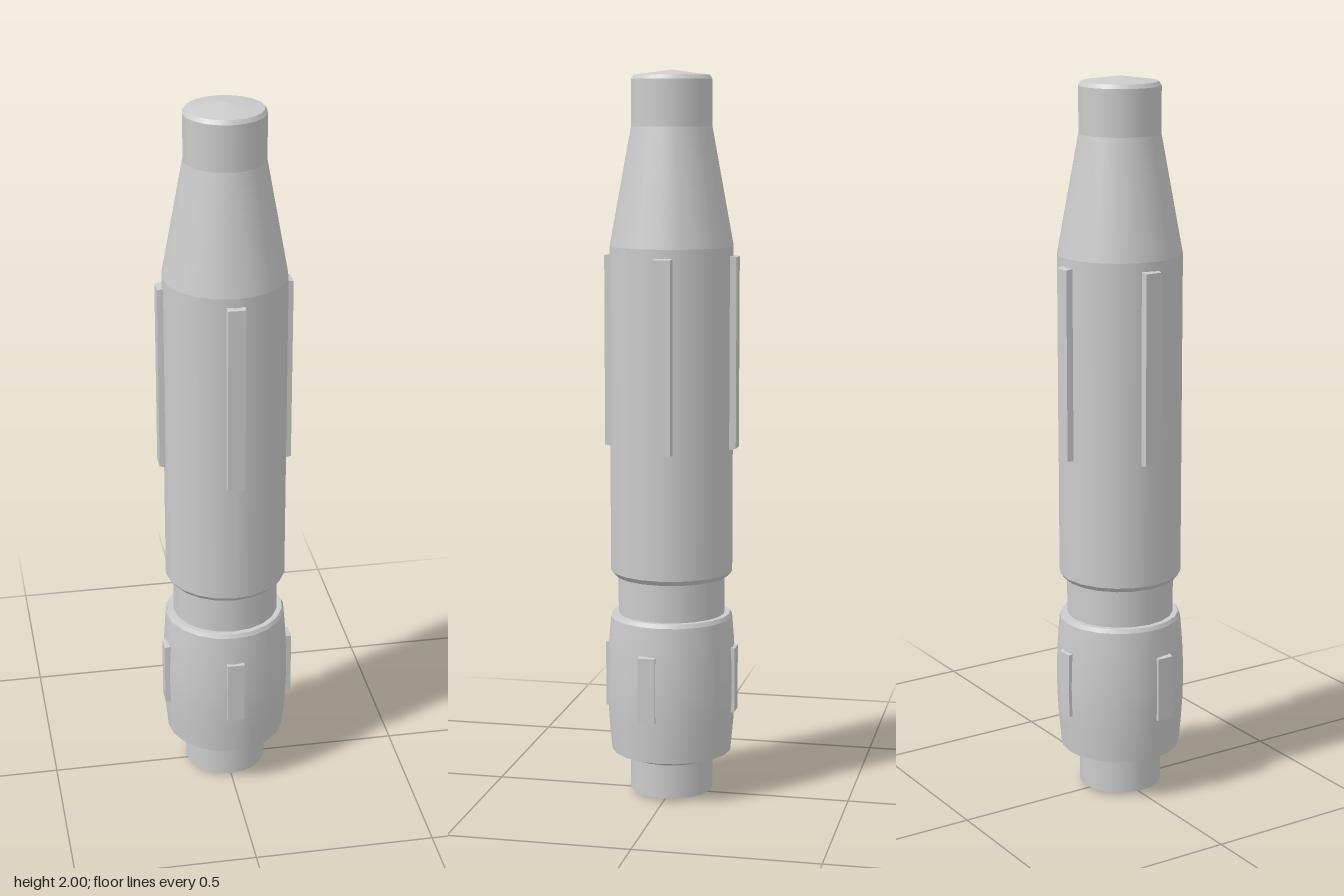
import * as THREE from 'three';

const material = new THREE.MeshStandardMaterial({ color: 0xcccccc });
const SIDES = 20;

// One turned section; profile runs bottom to top as [radius, height]
function turned(name, profile) {
  const points = profile.map(([r, y]) => new THREE.Vector2(r, y));
  const mesh = new THREE.Mesh(new THREE.LatheGeometry(points, SIDES), material);
  mesh.name = name;
  return mesh;
}

// Thin raised strip, its outer face slightly smaller than its base
function strip(name, bottom, top, outer, offset, angle) {
  const inner = 0.14;
  const geometry = new THREE.BoxGeometry(0.054, top - bottom, outer - inner);
  const p = geometry.attributes.position;
  for (let i = 0; i < p.count; i++) {
    if (p.getZ(i) > 0) {
      p.setX(i, p.getX(i) * 0.87);
      p.setY(i, p.getY(i) - Math.sign(p.getY(i)) * 0.007);
    }
  }
  geometry.translate(offset, (top + bottom) / 2, (outer + inner) / 2);
  geometry.computeVertexNormals();
  const mesh = new THREE.Mesh(geometry, material);
  mesh.rotation.y = angle;
  mesh.name = name;
  return mesh;
}

export function createModel() {
  const model = new THREE.Group();
  model.name = 'handle';

  // Turned body, split into sections wherever the outline has a sharp edge
  const sections = {
    baseCap: [[0, 0], [0.115, 0.01]],
    baseStub: [[0.115, 0.01], [0.115, 0.105]],
    lowerShelf: [[0.115, 0.105], [0.167, 0.125]],
    lowerGrip: [[0.167, 0.125], [0.174, 0.2], [0.178, 0.27], [0.179, 0.33],
      [0.177, 0.4], [0.173, 0.46], [0.169, 0.505]],
    lowerGripRim: [[0.169, 0.505], [0.163, 0.516]],
    lowerGripTop: [[0.163, 0.516], [0.148, 0.516]],
    groove: [[0.148, 0.51], [0.148, 0.625]],
    bodyUnderside: [[0.148, 0.622], [0.157, 0.622]],
    bodyChamfer: [[0.157, 0.622], [0.169, 0.636]],
    body: [[0.169, 0.636], [0.169, 1.53]],
    shoulder: [[0.169, 1.53], [0.11, 1.85]],
    neck: [[0.11, 1.85], [0.11, 1.975]],
    topChamfer: [[0.11, 1.975], [0.103, 1.986]],
    topCap: [[0.103, 1.986], [0, 2]],
  };
  for (const [name, profile] of Object.entries(sections)) model.add(turned(name, profile));

  // Four long and four short strips; those on the two sides sit off centre
  for (let i = 0; i < 4; i++) {
    const angle = (i * Math.PI) / 2;
    const side = Math.round(Math.sin(angle)); // 1 on the left, -1 on the right
    model.add(strip('upperStrip', 0.975, 1.51, 0.183, side * 0.012, angle));
    model.add(strip('lowerStrip', 0.235, 0.43, 0.183, side * -0.032, angle));
  }
  return model;
}
